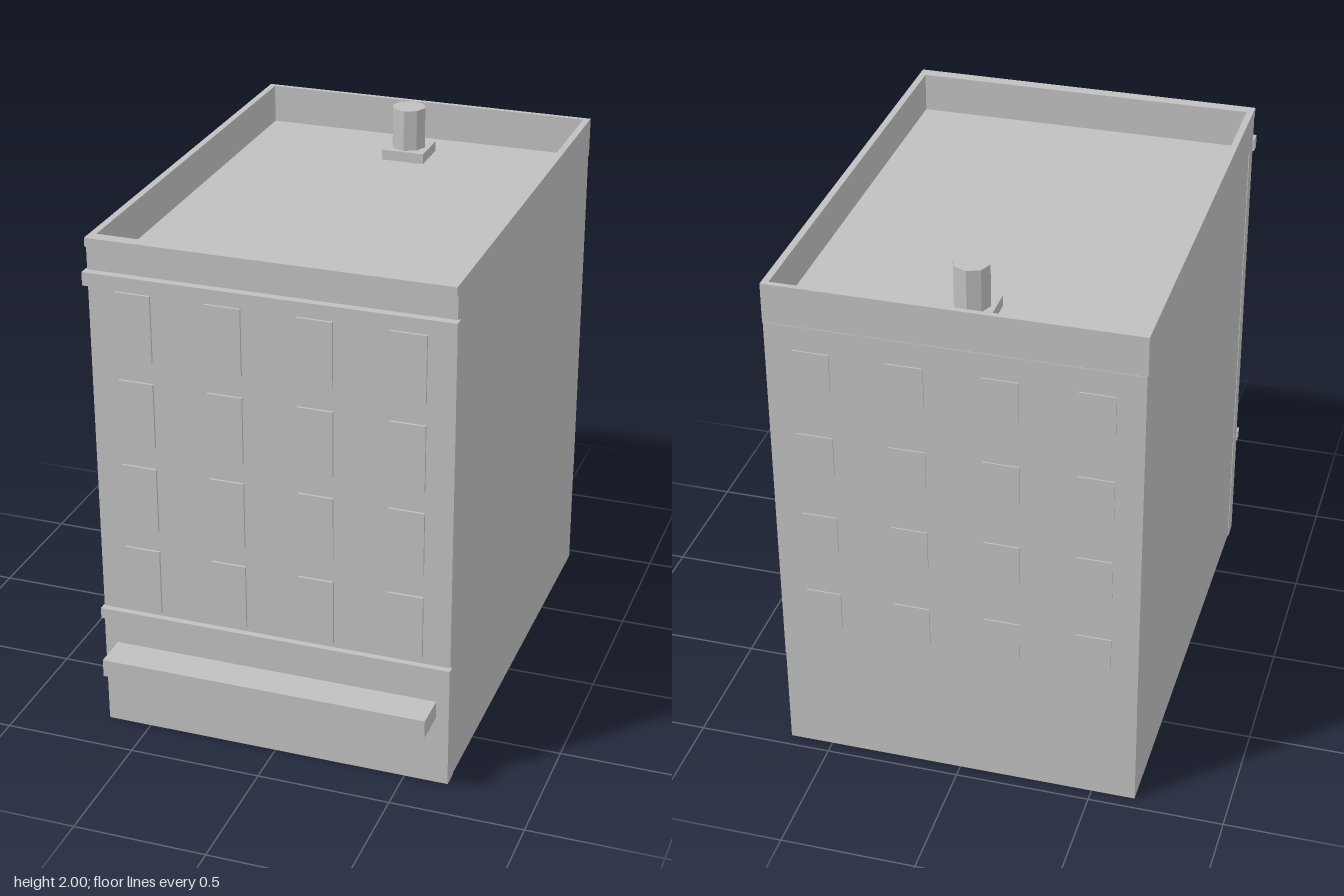
import * as THREE from 'three';

export function createModel() {
  const model = new THREE.Group();
  model.name = 'building';
  const grey = new THREE.MeshStandardMaterial({ color: 0xc0c0c0 });
  grey.name = 'plain grey';

  // Box given by its extents along each axis
  function block(name, x0, x1, y0, y1, z0, z1) {
    const mesh = new THREE.Mesh(new THREE.BoxGeometry(x1 - x0, y1 - y0, z1 - z0), grey);
    mesh.position.set((x0 + x1) / 2, (y0 + y1) / 2, (z0 + z1) / 2);
    mesh.name = name;
    model.add(mesh);
    return mesh;
  }

  // Walls: main body, back panel and slightly wider front slab
  block('body', -0.662, 0.662, 0, 1.8, -0.951, 0.77);
  block('backWall', -0.662, 0.662, 0.4, 1.8, -0.955, -0.95);
  block('frontWall', -0.665, 0.665, 0, 1.8, 0.76, 0.823);
  block('groundFloorFront', -0.665, 0.665, 0.01, 0.45, 0.82, 0.828);

  // Parapet ring around the flat roof
  const ring = new THREE.Shape([[-0.665, -0.823], [0.665, -0.823], [0.665, 0.953], [-0.665, 0.953]]
    .map(([x, y]) => new THREE.Vector2(x, y)));
  ring.holes.push(new THREE.Path([[-0.64, -0.789], [-0.64, 0.933], [0.64, 0.933], [0.64, -0.789]]
    .map(([x, y]) => new THREE.Vector2(x, y))));
  const parapet = new THREE.Mesh(
    new THREE.ExtrudeGeometry(ring, { depth: 0.147, bevelEnabled: false }).rotateX(-Math.PI / 2), grey);
  parapet.position.y = 1.8;
  parapet.name = 'parapet';
  model.add(parapet);

  // Front mouldings and canopy
  block('coping', -0.665, 0.665, 1.914, 1.947, 0.815, 0.836);
  block('upperBand', -0.673, 0.673, 1.776, 1.826, 0.815, 0.853);
  block('lowerBand', -0.67, 0.67, 0.448, 0.49, 0.815, 0.847);
  block('canopy', -0.617, 0.617, 0.276, 0.344, 0.82, 0.962);

  // Four columns and rows of window plates on front and back
  for (const x of [-0.498, -0.166, 0.166, 0.498]) {
    for (let row = 0; row < 4; row++) {
      const y = 0.634 + row * 0.333;
      block('frontWindow', x - 0.065, x + 0.065, y - 0.125, y + 0.125, 0.823, 0.832);
      block('backWindow', x - 0.065, x + 0.065, y - 0.075, y + 0.075, -0.96, -0.954);
    }
  }

  // Roof vent: square pad and octagonal pipe
  block('ventPad', -0.084, 0.084, 1.8, 1.84, -0.798, -0.634);
  const vent = new THREE.Mesh(
    new THREE.CylinderGeometry(0.066, 0.066, 0.17, 8).toNonIndexed(), grey);
  vent.geometry.computeVertexNormals();
  vent.position.set(0, 1.915, -0.714);
  vent.name = 'ventPipe';
  model.add(vent);

  return model;
}
